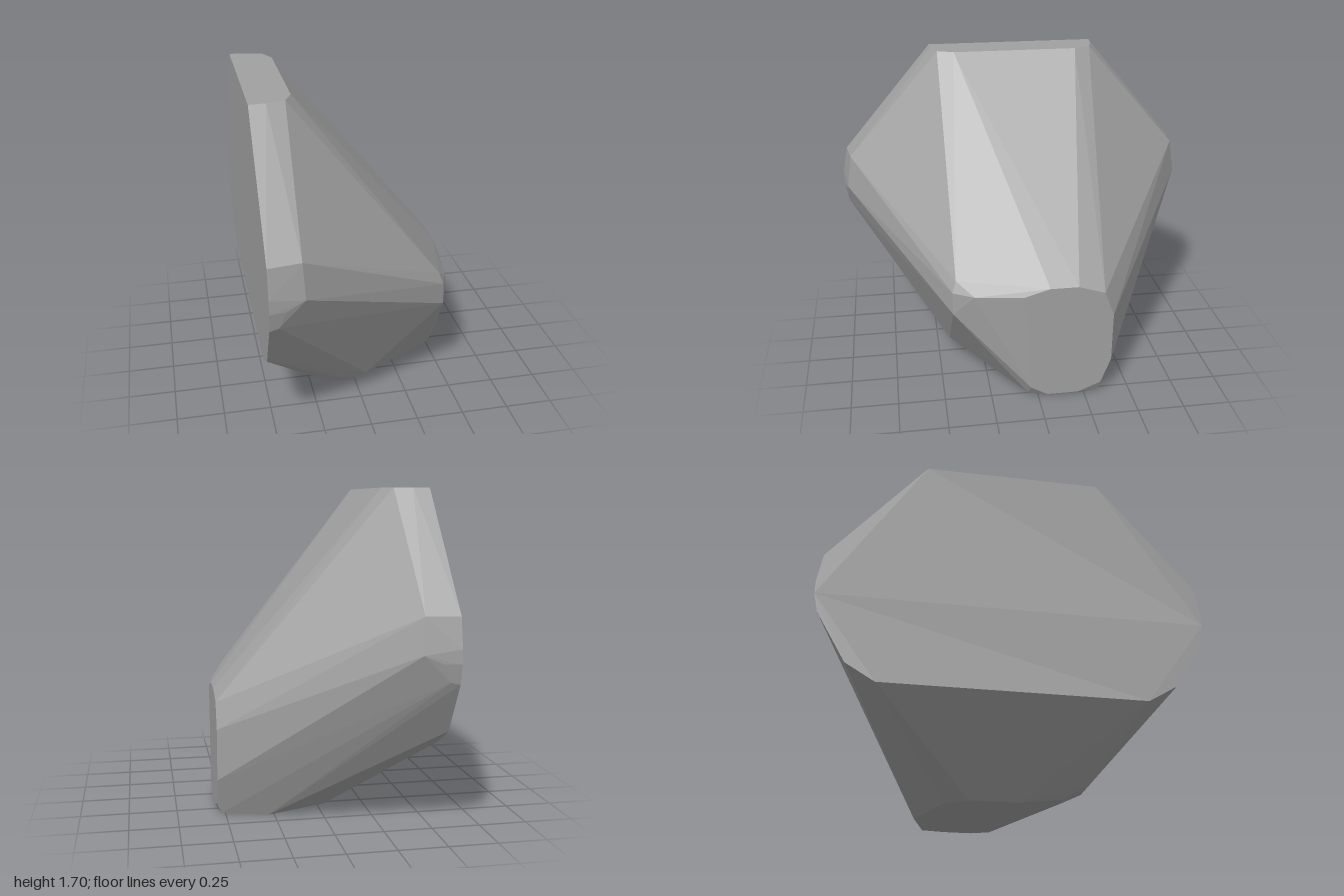
import * as THREE from 'three';
import { ConvexGeometry } from 'three/addons/geometries/ConvexGeometry.js';

const stoneGrey = new THREE.MeshStandardMaterial({ color: 0xa0a0a0 });
stoneGrey.name = 'stoneGrey';

// corners shared by the front and back halves: x, y, z (mirrored in z)
const mirrored = [
  // top cap
  [-0.545, 1.695, 0.465], [-0.46, 1.695, 0.457], [-0.365, 1.695, 0.43], [-0.325, 1.695, 0.34],
  // rounded shoulder
  [-0.545, 1.1, 0.97], [-0.38, 1.1, 0.945], [-0.37, 0.92, 0.97],
  [-0.545, 0.95, 0.998], [-0.545, 0.88, 1], [-0.46, 0.88, 0.985],
  [-0.5, 0.79, 0.975], [-0.545, 0.78, 0.98],
  // lower rim of the flat side
  [-0.545, 0.52, 0.83], [-0.545, 0.43, 0.68],
];

// front corner of the narrow end
const frontEnd = [
  [0.44, 0.68, 0.42], [0.46, 0.62, 0.44], [0.465, 0.5, 0.44], [0.505, 0.61, 0.33],
  [0.04, 0.11, 0.44], [-0.05, 0.08, 0.445], [-0.17, 0.085, 0.44],
  [-0.05, 0.03, 0.34], [-0.12, 0.03, 0.33],
];

// flat narrow end: z, y at constant x
const endFace = [
  [0.08, 0.61], [-0.06, 0.65], [-0.21, 0.65], [-0.35, 0.605], [-0.4, 0.47],
  [-0.395, 0.2], [-0.34, 0.06], [-0.22, 0.01], [-0.05, 0.01], [0.04, 0.06],
];

// flat foot: x, z on the ground
const foot = [
  [0.5, 0.05], [0.54, -0.05], [0.54, -0.2], [0.52, -0.33], [0.28, -0.4],
  [-0.04, -0.28], [-0.12, -0.16], [-0.12, 0.1], [0.0, 0.1],
];

export function createModel() {
  const points = [
    ...mirrored.flatMap(([x, y, z]) => [[x, y, z], [x, y, -z]]),
    ...frontEnd,
    ...endFace.map(([z, y]) => [0.545, y, z]),
    ...foot.map(([x, z]) => [x, 0, z]),
  ].map((p) => new THREE.Vector3(...p));

  // faceted convex stone
  const stone = new THREE.Mesh(new ConvexGeometry(points), stoneGrey);
  stone.name = 'facetedStone';

  const group = new THREE.Group();
  group.name = 'stoneBlock';
  group.add(stone);
  return group;
}
